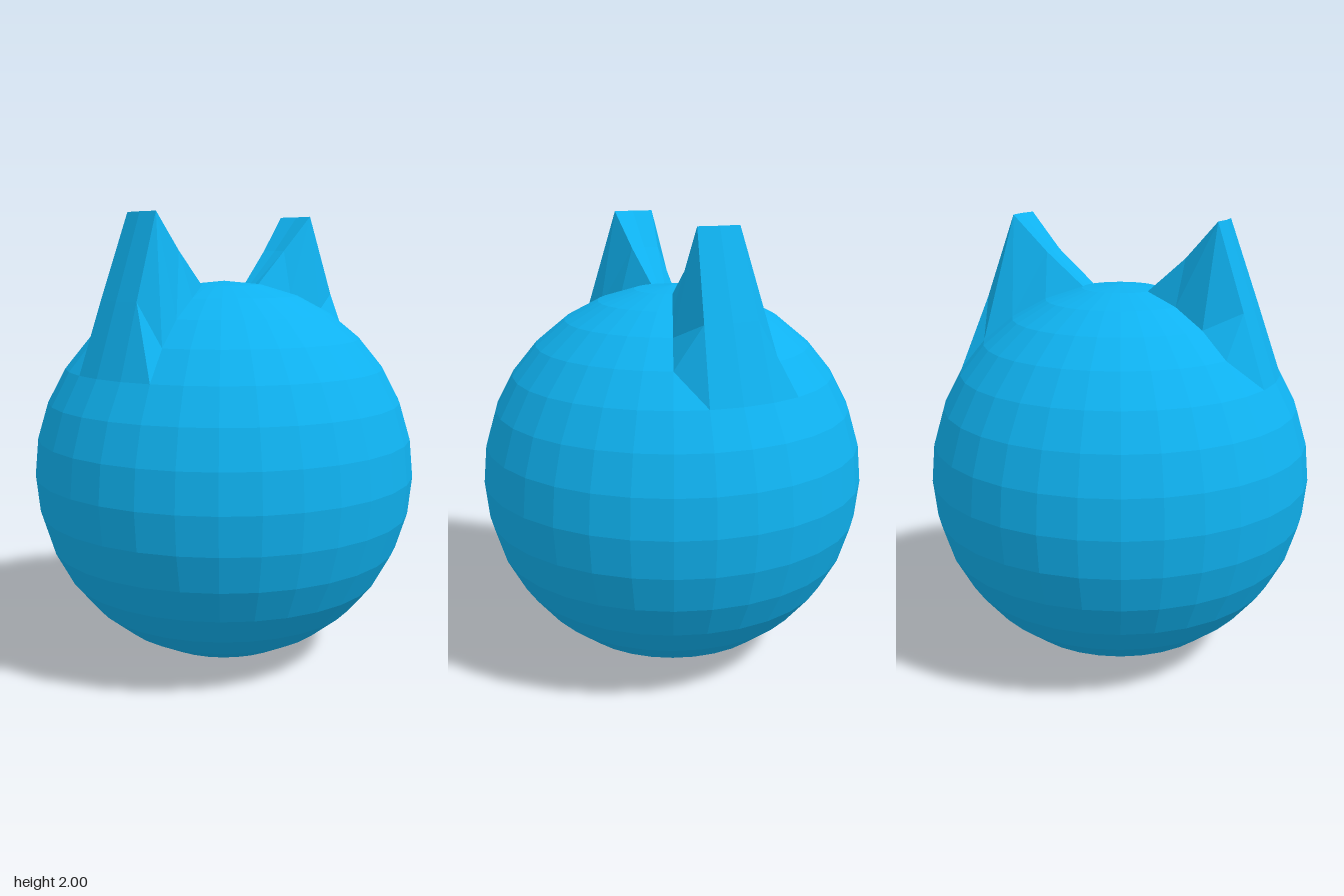
import * as THREE from 'three';

const RADIUS = 0.855, CENTER_Y = 0.857;
const COLUMNS = 32, ROWS = 16;
// Heights that the ear rows are pulled up to, by row from the pole
const EAR_HEIGHTS = { 2: 1.843, 3: 2.0, 4: 1.64 };

export function createModel() {
  const group = new THREE.Group();
  group.name = 'earedBall';

  // Faceted ball
  const sphere = new THREE.SphereGeometry(RADIUS, COLUMNS, ROWS);
  sphere.translate(0, CENTER_Y, 0);

  // Ears: raise a three-column strip of the top rows on the +x and -x sides
  const position = sphere.attributes.position;
  const half = COLUMNS / 2;
  for (const row of [2, 3, 4]) {
    for (let column = 0; column <= COLUMNS; column++) {
      const offset = column % half;
      if (Math.min(offset, half - offset) <= 1) {
        position.setY(row * (COLUMNS + 1) + column, EAR_HEIGHTS[row]);
      }
    }
  }

  const geometry = sphere.toNonIndexed();
  geometry.computeVertexNormals();
  const material = new THREE.MeshStandardMaterial({ color: 0x0fb2f0, flatShading: true });
  const body = new THREE.Mesh(geometry, material);
  body.name = 'headWithEars';
  group.add(body);
  return group;
}
